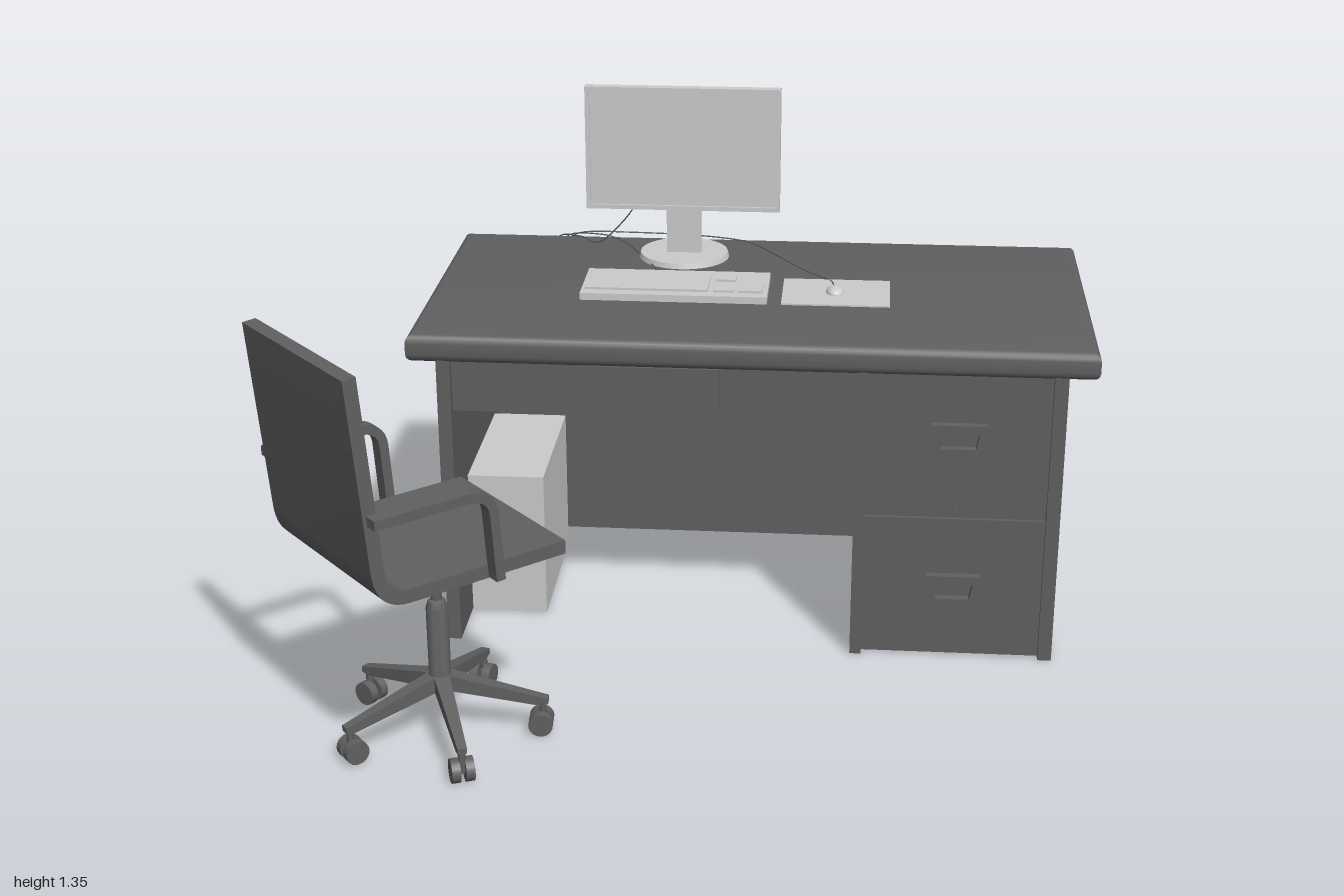
import * as THREE from 'three';
import { toCreasedNormals } from 'three/addons/utils/BufferGeometryUtils.js';

const light = new THREE.MeshStandardMaterial({ color: 0xcccccc });
const dark = new THREE.MeshStandardMaterial({ color: 0x606060 });

function add(parent, name, geo, mat, x = 0, y = 0, z = 0) {
  const m = new THREE.Mesh(geo, mat);
  m.name = name;
  m.position.set(x, y, z);
  parent.add(m);
  return m;
}

// Box given by its extents
function block(parent, name, mat, x0, x1, y0, y1, z0, z1) {
  return add(parent, name, new THREE.BoxGeometry(x1 - x0, y1 - y0, z1 - z0), mat,
    (x0 + x1) / 2, (y0 + y1) / 2, (z0 + z1) / 2);
}

const poly = (pts) => new THREE.Shape(pts.map((p) => new THREE.Vector2(...p)));

// Bent sheet: a path in the (z, y) plane, thickened and extruded along x
function ribbon(path, thick, width) {
  const pts = path.getPoints(8).filter((p, i, a) => !i || p.distanceTo(a[i - 1]) > 1e-5);
  const side = (s) => pts.map((p, i) => {
    const t = pts[Math.min(i + 1, pts.length - 1)].clone().sub(pts[Math.max(i - 1, 0)]).normalize();
    return [p.x - t.y * s * thick / 2, p.y + t.x * s * thick / 2];
  });
  const geo = new THREE.ExtrudeGeometry(poly([...side(1), ...side(-1).reverse()]),
    { depth: width, bevelEnabled: false });
  geo.translate(0, 0, -width / 2).rotateY(-Math.PI / 2);
  return toCreasedNormals(geo, 0.6);
}

function cable(parent, name, pts) {
  const curve = new THREE.CatmullRomCurve3(pts.map((p) => new THREE.Vector3(...p)));
  add(parent, name, new THREE.TubeGeometry(curve, 60, 0.002, 5), dark);
}

function buildDesk() {
  const g = new THREE.Group();
  g.name = 'desk';
  // Worktop with rounded rim
  const b = 0.022;
  const top = new THREE.ExtrudeGeometry(
    poly([[-0.74 + b, -0.028 + b], [1 - b, -0.028 + b], [1 - b, 0.848 - b], [-0.74 + b, 0.848 - b]]),
    { depth: 0.073 - 2 * b, bevelSize: b, bevelThickness: b, bevelSegments: 4 });
  top.rotateX(-Math.PI / 2);
  add(g, 'worktop', toCreasedNormals(top, 0.6), dark, 0, 0.785 + b, 0);

  // Three upright panels
  for (const [x0, x1] of [[-0.665, -0.63], [0.4, 0.43], [0.89, 0.925]])
    block(g, 'uprightPanel', dark, x0, x1, 0, 0.79, -0.84, 0.02);
  // Recessed back panels
  block(g, 'kneeholeBack', dark, -0.63, 0.4, 0, 0.79, -0.72, -0.7);
  block(g, 'pedestalBack', dark, 0.43, 0.89, 0, 0.79, -0.72, -0.7);
  block(g, 'pedestalFloor', dark, 0.43, 0.89, 0.015, 0.035, -0.7, 0);
  // Apron and shallow centre drawer
  block(g, 'apron', dark, -0.63, 0.4, 0.645, 0.79, -0.03, -0.005);
  block(g, 'centreDrawer', dark, -0.295, 0.055, 0.68, 0.783, -0.3, 0.012);

  // Pedestal drawers with trapezoid pulls
  block(g, 'drawerRail', dark, 0.43, 0.89, 0.388, 0.427, -0.03, -0.005);
  for (const [y0, y1, hy] of [[0.005, 0.39, 0.2], [0.425, 0.787, 0.62]]) {
    block(g, 'drawerFront', dark, 0.43, 0.89, y0, y1, -0.025, 0.005);
    const pull = poly([[-0.07, 0.036], [-0.055, -0.036], [0.055, -0.036], [0.07, 0.036]]);
    pull.holes.push(new THREE.Path([[-0.052, 0.012], [0.052, 0.012], [0.044, -0.028], [-0.044, -0.028]]
      .map((p) => new THREE.Vector2(...p))));
    add(g, 'drawerPull', new THREE.ExtrudeGeometry(pull, { depth: 0.022, bevelEnabled: false }),
      dark, 0.66, hy, 0.004);
  }
  const lock = new THREE.CylinderGeometry(0.006, 0.006, 0.008, 12).rotateX(Math.PI / 2);
  add(g, 'drawerLock', lock, dark, 0.66, 0.407, -0.002);
  add(g, 'centreLock', lock, dark, -0.12, 0.755, 0.014);
  return g;
}

function buildMonitor() {
  const g = new THREE.Group();
  g.name = 'monitor';
  const x0 = -0.355, x1 = 0.175, y0 = 1.01, y1 = 1.35, f = 0.012;
  // Panel and raised bezel
  block(g, 'screen', light, x0, x1, y0, y1, -0.634, -0.613);
  const rim = poly([[x0, y0], [x1, y0], [x1, y1], [x0, y1]]);
  rim.holes.push(new THREE.Path([[x0 + f, y0 + f], [x0 + f, y1 - f], [x1 - f, y1 - f], [x1 - f, y0 + f]]
    .map((p) => new THREE.Vector2(...p))));
  add(g, 'bezel', new THREE.ExtrudeGeometry(rim, { depth: 0.007, bevelEnabled: false }), light, 0, 0, -0.613);
  // Stand arm bending forward to the panel
  const arm = new THREE.Path().moveTo(-0.674, 0.865).lineTo(-0.674, 1.195);
  arm.quadraticCurveTo(-0.674, 1.225, -0.65, 1.225).lineTo(-0.63, 1.225);
  add(g, 'standArm', ribbon(arm, 0.024, 0.095), light, -0.092);
  add(g, 'standBase', new THREE.CylinderGeometry(0.121, 0.125, 0.014, 48), light, -0.092, 0.865, -0.678);
  return g;
}

function buildDesktopItems() {
  const g = new THREE.Group();
  g.name = 'desktopItems';
  // Keyboard
  block(g, 'keyboardBody', light, -0.335, 0.158, 0.858, 0.877, -0.487, -0.28);
  for (const [x0, x1, z0, z1] of [[-0.325, 0, -0.435, -0.312], [0.015, 0.07, -0.435, -0.4],
    [0.015, 0.07, -0.34, -0.312], [0.08, 0.145, -0.39, -0.312]])
    block(g, 'keyBlock', light, x0, x1, 0.875, 0.883, z0, z1);
  // Mouse on its mat
  block(g, 'mouseMat', light, 0.195, 0.48, 0.856, 0.862, -0.487, -0.28);
  const mouse = new THREE.SphereGeometry(1, 24, 8, 0, Math.PI * 2, 0, Math.PI / 2);
  add(g, 'mouse', mouse.scale(0.025, 0.018, 0.033), light, 0.335, 0.861, -0.385);

  // Cables run over the back edge and down to the back panel
  const y = 0.861;
  const drop = (x) => [[-0.46 + x, 0.83, -0.892], [-0.45 + x, 0.62, -0.878],
    [-0.46 + x, 0.4, -0.84], [-0.47 + x, 0.25, -0.77], [-0.47 + x, 0.21, -0.72]];
  cable(g, 'mouseCable', [[0.33, 0.87, -0.415], [0.32, y, -0.48], [0.245, y, -0.57], [0.165, y, -0.69],
    [0.085, y, -0.8], [-0.02, y, -0.845], [-0.26, y, -0.87], [-0.4, y, -0.86], ...drop(0.02)]);
  cable(g, 'keyboardCable', [[-0.16, 0.868, -0.485], [-0.165, y, -0.56], [-0.22, y, -0.68],
    [-0.27, y, -0.78], [-0.35, y, -0.845], ...drop(0)]);
  cable(g, 'monitorCable', [[-0.16, 1.06, -0.636], [-0.2, 1.04, -0.68], [-0.26, 0.95, -0.715],
    [-0.34, 0.868, -0.75], [-0.4, y, -0.82], ...drop(-0.02)]);
  return g;
}

function buildTower() {
  const g = new THREE.Group();
  g.name = 'computerTower';
  block(g, 'towerCase', light, -0.628, -0.425, 0, 0.4, -0.59, -0.15);
  const chevron = poly([[-0.62, 0.35], [-0.62, 0.1], [-0.49, 0.24]]);
  add(g, 'towerFrontPanel', new THREE.ExtrudeGeometry(chevron, { depth: 0.004, bevelEnabled: false }),
    light, 0, 0, -0.15);
  return g;
}

function buildChair() {
  const g = new THREE.Group();
  g.name = 'chair';
  g.position.set(-0.59, 0, 0.495);

  const upper = new THREE.Group();
  upper.name = 'chairUpper';
  upper.rotation.y = 2.3;
  g.add(upper);
  // One-piece seat and backrest shell
  const shell = new THREE.Path().moveTo(0.22, 0.524).lineTo(-0.2, 0.524);
  shell.quadraticCurveTo(-0.268, 0.524, -0.277, 0.6).lineTo(-0.318, 1.073);
  add(upper, 'seatShell', ribbon(shell, 0.034, 0.466), dark);
  // Loop armrests
  for (const s of [-1, 1]) {
    const arm = new THREE.Path().moveTo(0.02, 0.51).lineTo(0.008, 0.68);
    arm.quadraticCurveTo(0.003, 0.733, -0.06, 0.735).lineTo(-0.297, 0.735);
    add(upper, 'armrest', ribbon(arm, 0.024, 0.036), dark, s * 0.25);
  }
  // Tilt mechanism and lever
  block(upper, 'seatPlate', dark, -0.1, 0.1, 0.49, 0.508, -0.1, 0.1);
  block(upper, 'tiltHousing', dark, -0.05, 0.05, 0.465, 0.492, -0.07, 0.07);
  block(upper, 'tiltLever', dark, 0, 0.29, 0.463, 0.475, -0.015, 0.015);

  // Gas lift
  const lift = [[0, 0.12], [0.03, 0.12], [0.03, 0.15], [0.027, 0.16], [0.027, 0.34], [0.021, 0.358],
    [0.013, 0.362], [0.013, 0.47]].map((p) => new THREE.Vector2(...p));
  add(g, 'gasLift', toCreasedNormals(new THREE.LatheGeometry(lift, 24), 0.6), dark);

  // Five tapered legs with twin-wheel casters
  const legShape = poly([[0, 0.125], [0.24, 0.078], [0.262, 0.082], [0.262, 0.096], [0.24, 0.102], [0, 0.168]]);
  const wheel = new THREE.CylinderGeometry(0.03, 0.03, 0.021, 20).rotateX(Math.PI / 2);
  for (let i = 0; i < 5; i++) {
    const leg = new THREE.Group();
    leg.name = 'baseLeg';
    leg.rotation.y = i * Math.PI * 2 / 5 + 0.06;
    g.add(leg);
    const bar = new THREE.ExtrudeGeometry(legShape, { depth: 0.036, bevelEnabled: false });
    bar.translate(0, 0, -0.018);
    const p = bar.attributes.position;
    for (let k = 0; k < p.count; k++) p.setZ(k, p.getZ(k) * (1.1 - 1.8 * p.getX(k)));
    bar.computeVertexNormals();
    add(leg, 'legBar', bar, dark);
    add(leg, 'casterStem', new THREE.CylinderGeometry(0.009, 0.009, 0.06, 12), dark, 0.248, 0.06, 0);
    for (const s of [-1, 1]) add(leg, 'casterWheel', wheel, dark, 0.243, 0.03, s * 0.017);
    block(leg, 'casterAxle', dark, 0.235, 0.25, 0.022, 0.045, -0.012, 0.012);
  }
  return g;
}

export function createModel() {
  const model = new THREE.Group();
  model.name = 'officeWorkstation';
  model.add(buildDesk(), buildMonitor(), buildDesktopItems(), buildTower(), buildChair());
  return model;
}
